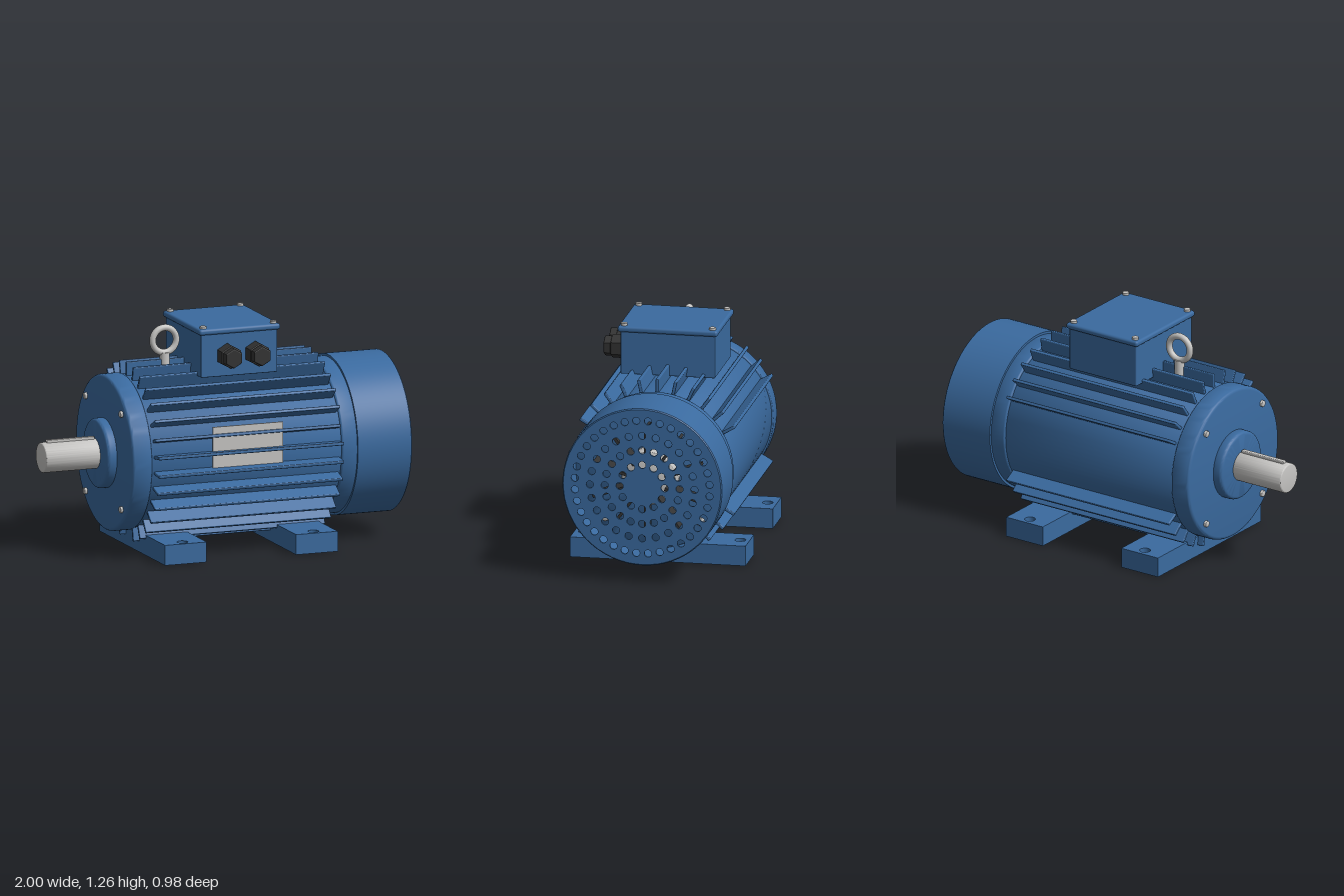
import * as THREE from 'three';
import { toCreasedNormals } from 'three/addons/utils/BufferGeometryUtils.js';
import { RoundedBoxGeometry } from 'three/addons/geometries/RoundedBoxGeometry.js';

const AXIS_Y = 0.545, AXIS_Z = -0.003;

export function createModel() {
  const blue = new THREE.MeshStandardMaterial({ color: 0x3a6a9f });
  const steel = new THREE.MeshStandardMaterial({ color: 0xc6c5c3 });
  const black = new THREE.MeshStandardMaterial({ color: 0x333333 });
  blue.name = 'paintedBlue'; steel.name = 'bareSteel'; black.name = 'blackPlastic';

  const model = new THREE.Group();
  model.name = 'electricMotor';
  const motor = new THREE.Group(); // everything arranged around the shaft axis
  motor.name = 'motorCore';
  motor.position.set(0, AXIS_Y, AXIS_Z);
  model.add(motor);

  const add = (parent, name, geometry, material, x = 0, y = 0, z = 0) => {
    const mesh = new THREE.Mesh(geometry, material);
    mesh.name = name;
    mesh.position.set(x, y, z);
    parent.add(mesh);
    return mesh;
  };
  const box = (w, h, d, r = 0.008) => new RoundedBoxGeometry(w, h, d, 2, r);
  // Turned part along x, from [radius, x] pairs
  const turned = (points, segments = 96) => toCreasedNormals(
    new THREE.LatheGeometry(points.map(p => new THREE.Vector2(p[0], p[1])), segments)
      .rotateZ(-Math.PI / 2), 0.6);
  // Solid disc with rounded rims
  const drum = (r, x0, x1, b0, b1 = b0) => {
    const pts = [[0, x0]];
    for (let i = 0; i <= 4; i++) {
      const a = i / 4 * Math.PI / 2;
      pts.push([r - b0 + b0 * Math.sin(a), x0 + b0 - b0 * Math.cos(a)]);
    }
    for (let i = 0; i <= 4; i++) {
      const a = i / 4 * Math.PI / 2;
      pts.push([r - b1 + b1 * Math.cos(a), x1 - b1 + b1 * Math.sin(a)]);
    }
    pts.push([0, x1]);
    return turned(pts);
  };

  // Housing, end shields and shaft
  add(motor, 'statorHousing', drum(0.42, -0.53, 0.61, 0.004), blue);
  add(motor, 'frontShield', drum(0.43, -0.63, -0.517, 0.02, 0.008), blue);
  add(motor, 'bearingHub', drum(0.192, -0.685, -0.61, 0.02, 0.004), blue);
  add(motor, 'rearShield', drum(0.43, 0.592, 0.69, 0.012, 0.004), blue);
  add(motor, 'shaft', drum(0.083, -1, -0.66, 0.008, 0.004), steel);
  add(motor, 'shaftKey', box(0.28, 0.04, 0.028, 0.005), steel, -0.83, 0.076, 0);

  // Cooling fins every 12 degrees, leaving the back side plain
  for (let i = 0; i < 30; i++) {
    if (i === 15 || (i >= 21 && i <= 24)) continue;
    const tip = i === 6 ? 0.465 : 0.495;
    const length = tip - 0.4;
    const arm = new THREE.Group();
    arm.name = 'finArm';
    arm.rotation.x = i * Math.PI / 15;
    add(arm, 'coolingFin', box(1.085, length, 0.018, 0.005), blue, 0.04, 0.4 + length / 2, 0);
    motor.add(arm);
  }

  // Shield bolts
  for (const sy of [-1, 1]) for (const sz of [-1, 1]) {
    add(motor, 'frontBolt', drum(0.018, -0.645, -0.62, 0.004), steel, 0, sy * 0.265, sz * 0.265);
    add(motor, 'rearBolt', drum(0.022, 0.68, 0.705, 0.004), steel, 0, sy * 0.265, sz * 0.265);
  }

  // Fan cover: hollow wall and perforated end plate
  add(motor, 'fanCoverWall', turned([[0.43, 0.985], [0.43, 0.682], [0.443, 0.682],
    [0.443, 0.994], [0.437, 1], [0.43, 1]]), blue);
  const plate = new THREE.Shape().absarc(0, 0, 0.438, 0, Math.PI * 2);
  const rings = [[0.125, 12, 0], [0.208, 20, 0], [0.29, 24, 0], [0.375, 36, 0.5]];
  for (const [radius, count, shift] of rings) {
    for (let i = 0; i < count; i++) {
      const a = (i + shift) / count * Math.PI * 2;
      plate.holes.push(new THREE.Path().absarc(
        radius * Math.sin(a), radius * Math.cos(a), 0.02, 0, Math.PI * 2, true));
    }
  }
  const grille = new THREE.ExtrudeGeometry(plate, { depth: 0.012, bevelEnabled: false, curveSegments: 16 });
  add(motor, 'fanCoverGrille', grille.rotateY(Math.PI / 2), blue, 0.988, 0, 0);

  // Fan inside the cover
  add(motor, 'fanHub', drum(0.15, 0.69, 0.82, 0.005), steel);
  for (let i = 0; i < 10; i++) {
    const arm = new THREE.Group();
    arm.name = 'fanArm';
    arm.rotation.x = i * Math.PI / 5;
    add(arm, 'fanBlade', new THREE.BoxGeometry(0.12, 0.2, 0.016), black, 0.84, 0.21, 0);
    motor.add(arm);
  }

  // Feet with mounting holes
  for (const x of [-0.345, 0.422]) {
    const outline = new THREE.Shape();
    const w = 0.122, d = 0.487;
    outline.moveTo(-w, -d).lineTo(w, -d).lineTo(w, d).lineTo(-w, d).closePath();
    for (const s of [-1, 1]) {
      outline.holes.push(new THREE.Path().absarc(0, s * 0.435, 0.03, 0, Math.PI * 2, true));
    }
    const foot = new THREE.ExtrudeGeometry(outline, { depth: 0.112, bevelEnabled: false, curveSegments: 20 });
    add(model, 'foot', foot.rotateX(-Math.PI / 2), blue, x, 0, 0);
    add(model, 'footSaddle', box(0.2, 0.06, 0.25), blue, x, 0.12, 0);
  }

  // Terminal box with lid and screws
  add(model, 'terminalBox', box(0.446, 0.25, 0.525, 0.006), blue, 0.057, 1.1, -0.003);
  add(model, 'terminalLid', box(0.475, 0.034, 0.555, 0.014), blue, 0.057, 1.229, -0.003);
  for (const sx of [-1, 1]) for (const sz of [-1, 1]) {
    add(model, 'lidScrew', new THREE.CylinderGeometry(0.018, 0.018, 0.025, 20), steel,
      0.057 + sx * 0.205, 1.246, -0.003 + sz * 0.245);
  }

  // Cable glands: hexagonal body and cap, pointing forward
  const gland = (r, length) => {
    const hex = new THREE.Shape();
    const b = 0.007;
    for (let i = 0; i < 6; i++) {
      const a = i * Math.PI / 3;
      hex[i ? 'lineTo' : 'moveTo']((r - b) * Math.sin(a), (r - b) * Math.cos(a));
    }
    hex.closePath();
    return new THREE.ExtrudeGeometry(hex, {
      depth: length - 2 * b, bevelThickness: b, bevelSize: b, bevelSegments: 2 }).translate(0, 0, b);
  };
  for (const x of [-0.016, 0.149]) {
    add(model, 'glandBody', gland(0.065, 0.075), black, x, 1.093, 0.257);
    add(model, 'glandCap', gland(0.055, 0.045), black, x, 1.093, 0.327);
  }

  // Lifting eye
  add(model, 'liftingEye', new THREE.TorusGeometry(0.069, 0.018, 16, 48), steel, -0.275, 1.143, -0.01);
  add(model, 'liftingEyeShank', new THREE.CylinderGeometry(0.027, 0.03, 0.12, 24), steel, -0.275, 1.015, -0.01);

  // Rating plate
  add(model, 'ratingPlate', new THREE.BoxGeometry(0.41, 0.23, 0.008), steel, 0.04, 0.62, 0.43);
  return model;
}
